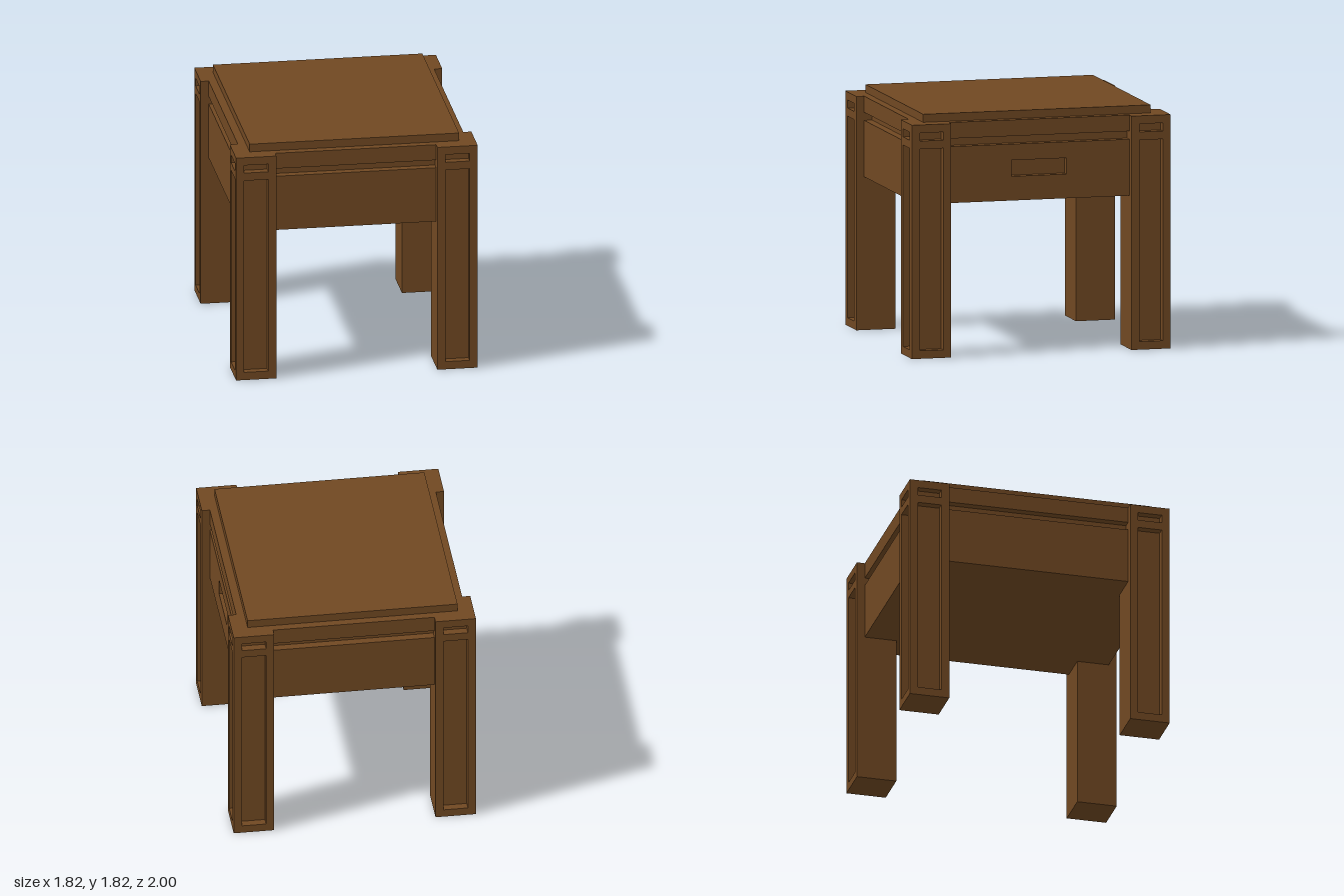
import * as THREE from 'three';

// Whole model sits on a grid of this unit
const U = 2 / 33;

export function createModel() {
  const model = new THREE.Group();
  model.name = 'sideTable';
  const wood = new THREE.MeshStandardMaterial({ color: 0x704822 });
  wood.name = 'brown wood';

  // Box given by its two corner coordinates in grid units
  function box(parent, name, x0, x1, y0, y1, z0, z1) {
    const geo = new THREE.BoxGeometry(Math.abs(x1 - x0) * U, (y1 - y0) * U, Math.abs(z1 - z0) * U);
    const mesh = new THREE.Mesh(geo, wood);
    mesh.name = name;
    mesh.position.set((x0 + x1) / 2 * U, (y0 + y1) / 2 * U, (z0 + z1) / 2 * U);
    parent.add(mesh);
  }

  // Legs: square core with raised frames on the two outer faces
  function leg(sx, sz) {
    const g = new THREE.Group();
    g.name = (sz > 0 ? 'front' : 'back') + (sx > 0 ? 'Left' : 'Right') + 'Leg';
    const part = (name, x0, x1, y0, y1, z0, z1) =>
      box(g, name, sx * x0, sx * x1, y0, y1, sz * z0, sz * z1);
    part('legCore', 10, 14, 0, 29, 11.5, 15.5);
    part('cornerPost', 14, 15, 0, 29, 15.5, 16.5);
    part('endStile', 10, 11, 0, 29, 15.5, 16.5);
    part('sideStile', 14, 15, 0, 29, 11.5, 12.5);
    // Bottom, middle and top rails leave a tall and a small sunken panel
    for (const y of [0, 26, 28]) {
      part('endRail', 11, 14, y, y + 1, 15.5, 16.5);
      part('sideRail', 14, 15, y, y + 1, 12.5, 15.5);
    }
    model.add(g);
  }
  for (const sx of [-1, 1]) for (const sz of [-1, 1]) leg(sx, sz);

  // Drawer case, groove, upper rail and raised top
  box(model, 'drawerCase', -14, 13, 19, 26, -15.5, 15.5);
  box(model, 'groove', -13, 13, 26, 27, -14.5, 14.5);
  box(model, 'upperRail', -14, 14, 27, 29, -15.5, 15.5);
  box(model, 'tableTop', -13, 13, 29, 30, -14.5, 14.5);

  // Drawer front on the left side with a cut-out hand pull
  const rect = (Path, w, y0, y1) => new Path([[-w, y0], [w, y0], [w, y1], [-w, y1]]
    .map(([x, y]) => new THREE.Vector2(x * U, y * U)));
  const panel = rect(THREE.Shape, 15.5, 19, 26);
  panel.holes.push(rect(THREE.Path, 3.5, 22, 24));
  const geo = new THREE.ExtrudeGeometry(panel, { depth: U, bevelEnabled: false });
  geo.rotateY(Math.PI / 2);
  const front = new THREE.Mesh(geo, wood);
  front.name = 'drawerFront';
  front.position.x = 13 * U;
  model.add(front);

  return model;
}
